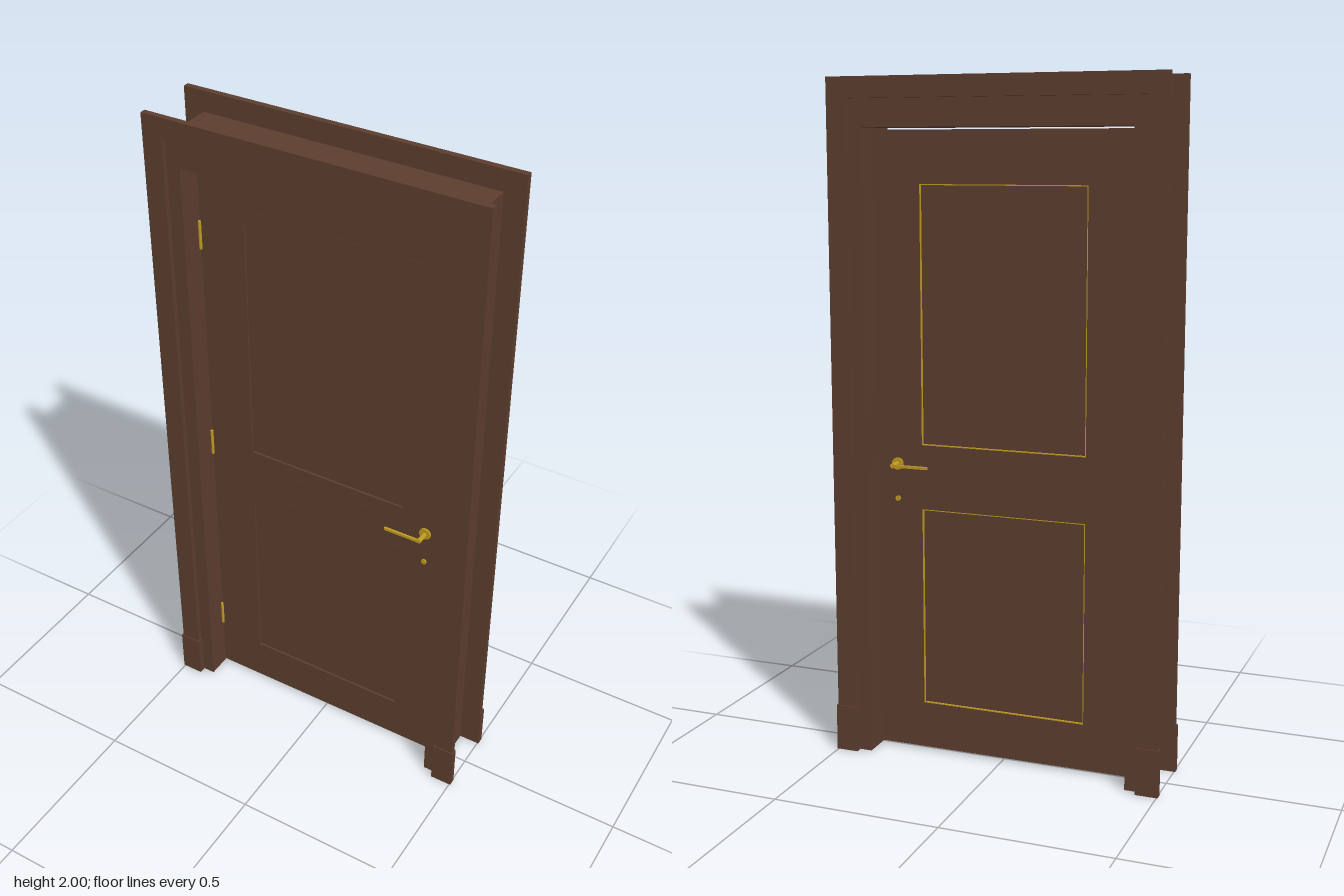
import * as THREE from 'three';

const wood = new THREE.MeshStandardMaterial({ color: 0x5c3d2e });
const brass = new THREE.MeshStandardMaterial({ color: 0xc09a20 });

function add(parent, name, geometry, material, x = 0, y = 0, z = 0) {
  const mesh = new THREE.Mesh(geometry, material);
  mesh.name = name;
  mesh.position.set(x, y, z);
  parent.add(mesh);
  return mesh;
}

const box = (w, h, d) => new THREE.BoxGeometry(w, h, d);

// Flat outline extruded from z0 to z1
function slab(shape, z0, z1) {
  const g = new THREE.ExtrudeGeometry(shape, { depth: z1 - z0, bevelEnabled: false });
  return g.translate(0, 0, z0);
}

// Upside-down U surrounding the opening
function arch(outX, outY, inX, inY) {
  return new THREE.Shape([
    [-outX, 0], [-inX, 0], [-inX, inY], [inX, inY],
    [inX, 0], [outX, 0], [outX, outY], [-outX, outY],
  ].map(([x, y]) => new THREE.Vector2(x, y)));
}

function rect(Type, hw, y0, y1) {
  return new Type([[-hw, y0], [hw, y0], [hw, y1], [-hw, y1]].map(([x, y]) => new THREE.Vector2(x, y)));
}

// Turned part facing along z
const disc = (r, d) => new THREE.CylinderGeometry(r, r, d, 24).rotateX(Math.PI / 2);

const DOOR_Z = 0.019; // half thickness of the leaf
const PANELS = [[0.15, 0.752], [0.945, 1.702]];

// Lever handle and keyhole for one face, built towards +z
function makeHandle() {
  const handle = new THREE.Group();
  handle.name = 'handle';
  add(handle, 'rosette', disc(0.018, 0.006), brass, 0.33, 0.885, 0.003);
  add(handle, 'spindle', disc(0.007, 0.04), brass, 0.33, 0.885, 0.022);
  add(handle, 'lever', box(0.116, 0.008, 0.007), brass, 0.277, 0.885, 0.04);
  add(handle, 'keyEscutcheon', disc(0.008, 0.005), brass, 0.33, 0.78, 0.0025);
  return handle;
}

export function createModel() {
  const model = new THREE.Group();
  model.name = 'framedDoor';

  // Frame lining the wall opening
  add(model, 'jamb', slab(arch(0.44, 1.94, 0.4, 1.86), -0.0875, 0.0875), wood);

  // Casings and plinth blocks on both faces
  for (const s of [1, -1]) {
    const z = [s * 0.087, s * 0.105].sort((a, b) => a - b);
    add(model, s > 0 ? 'frontCasing' : 'backCasing', slab(arch(0.5, 2, 0.44, 1.94), z[0], z[1]), wood);
    for (const side of [1, -1]) {
      add(model, 'plinthBlock', box(0.067, 0.14, 0.022), wood, side * 0.4705, 0.07, s * 0.098);
    }
  }

  // Door leaf with two recessed panels
  const door = new THREE.Group();
  door.name = 'door';
  model.add(door);
  const leaf = rect(THREE.Shape, 0.395, 0.01, 1.854);
  for (const [y0, y1] of PANELS) leaf.holes.push(rect(THREE.Path, 0.253, y0, y1));
  add(door, 'stilesAndRails', slab(leaf, -DOOR_Z, DOOR_Z), wood);

  for (const [y0, y1] of PANELS) {
    add(door, 'panel', box(0.506, y1 - y0, 0.024), wood, 0, (y0 + y1) / 2, 0);

    // Fine bead round the back of the panel
    const bead = rect(THREE.Shape, 0.253, y0, y1);
    bead.holes.push(rect(THREE.Path, 0.25, y0 + 0.003, y1 - 0.003));
    add(door, 'panelBead', slab(bead, -DOOR_Z + 0.001, -0.011), brass);

    // Narrow trim lines above and below the panel
    for (const y of [y0 - 0.045, y1 + 0.044]) {
      add(door, 'trimLine', box(0.595, 0.004, 2 * DOOR_Z + 0.002), wood, 0, y, 0);
    }
  }

  // Handles on both faces
  const front = makeHandle();
  front.position.z = DOOR_Z;
  const back = makeHandle();
  back.position.z = -DOOR_Z;
  back.scale.z = -1;
  door.add(front, back);

  // Hinges
  for (const y of [0.225, 0.93, 1.635]) {
    add(door, 'hinge', new THREE.CylinderGeometry(0.0045, 0.0045, 0.085, 12), brass, -0.395, y, DOOR_Z + 0.003);
  }

  return model;
}
